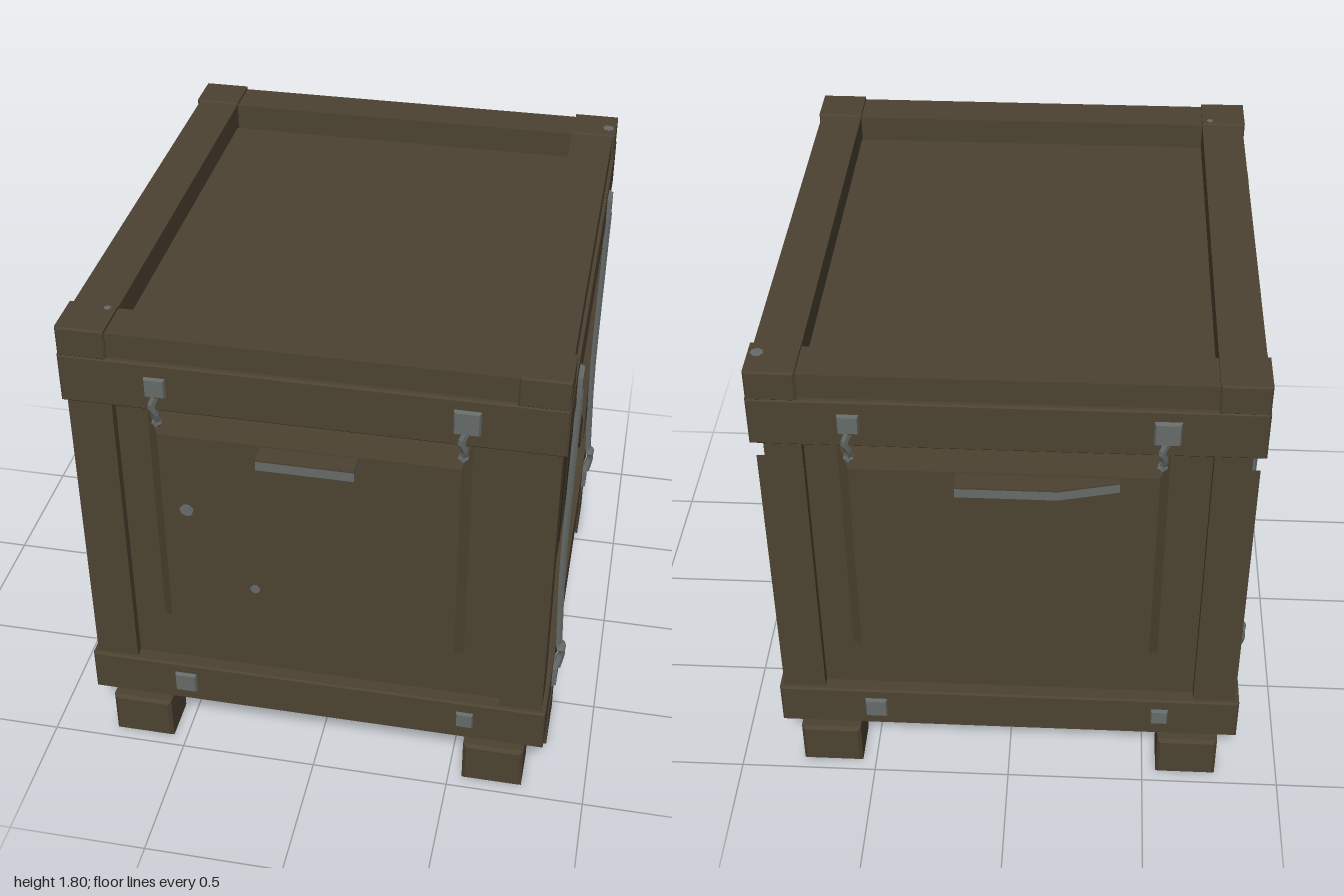
import * as THREE from 'three';

const wood = new THREE.MeshStandardMaterial({ color: 0x4c4231, flatShading: true });
const metal = new THREE.MeshStandardMaterial({ color: 0x656a68, flatShading: true });
const crack = new THREE.MeshStandardMaterial({ color: 0x211c15, flatShading: true });
wood.name = 'brown wood';
metal.name = 'grey metal';
crack.name = 'dark crack';

function add(parent, name, geometry, material) {
  const mesh = new THREE.Mesh(geometry, material);
  mesh.name = name;
  parent.add(mesh);
  return mesh;
}

// Box given by its limits
function box(parent, name, [x0, x1], [y0, y1], [z0, z1], material = wood) {
  const mesh = add(parent, name, new THREE.BoxGeometry(x1 - x0, y1 - y0, z1 - z0), material);
  mesh.position.set((x0 + x1) / 2, (y0 + y1) / 2, (z0 + z1) / 2);
  return mesh;
}

// Outline in x and y, extruded along z
function slab(parent, name, points, z, depth, material = wood, bevel = 0) {
  const shape = new THREE.Shape(points.map(([x, y]) => new THREE.Vector2(x, y)));
  const geometry = new THREE.ExtrudeGeometry(shape, {
    depth: depth - 2 * bevel, bevelEnabled: bevel > 0, bevelSize: bevel,
    bevelThickness: bevel, bevelOffset: -bevel, bevelSegments: 1,
  });
  const mesh = add(parent, name, geometry, material);
  mesh.position.z = z + bevel;
  return mesh;
}

const rect = ([x0, x1], [y0, y1]) => [[x0, y0], [x1, y0], [x1, y1], [x0, y1]];

// Box with chamfered edges
const block = (parent, name, x, y, [z0, z1], bevel = 0.012) =>
  slab(parent, name, rect(x, y), z0, z1 - z0, wood, bevel);

// Metal plate whose front face is smaller than its back
function plate(parent, x, y, z, size) {
  const geometry = new THREE.CylinderGeometry(size * 0.56, size * 0.707, 0.025, 4);
  geometry.rotateY(Math.PI / 4).rotateX(Math.PI / 2);
  add(parent, 'plate', geometry, metal).position.set(x, y, z + 0.003);
}

function rod(parent, name, points, radius) {
  const curve = new THREE.CatmullRomCurve3(points.map((p) => new THREE.Vector3(...p)));
  add(parent, name, new THREE.TubeGeometry(curve, 8, radius, 5), metal);
}

// End wall with raised panel, handle and hooks; tail is the slanted length of the handle
function makeEnd(name, tail) {
  const end = new THREE.Group();
  end.name = name;

  // Panel with a shallow sloping skirt, steeper at the bottom and on one side
  const panel = new THREE.BoxGeometry(1.1, 0.94, 0.035);
  const pos = panel.attributes.position;
  for (let i = 0; i < pos.count; i++) {
    if (pos.getZ(i) < 0) continue;
    pos.setX(i, pos.getX(i) > 0 ? 0.515 : -0.51);
    pos.setY(i, pos.getY(i) > 0 ? 0.36 : -0.45);
  }
  panel.computeVertexNormals();
  add(end, 'raisedPanel', panel, wood).position.set(-0.015, 1.04, 0.909);

  // Handle bar with a wooden top
  const bar = [[-0.17, -0.90], [0.16, -0.90], [0.16, -1], [-0.17, -1]];
  if (tail) bar.splice(0, 4, [-0.17, -0.90], [0.17 + tail, -0.92], [0.17 + tail, -0.95], [0.17, -1], [-0.17, -1]);
  const handle = slab(end, 'handle', bar, 0, 0.035, metal);
  const grip = slab(end, 'handleTop', bar, 0, 0.006, wood);
  for (const [part, y] of [[handle, 1.355], [grip, 1.39]]) {
    part.rotation.x = -Math.PI / 2;
    part.position.set(0, y, 0);
  }

  // Upper plates with hooks
  for (const [x, size] of [[-0.51, 0.08], [0.515, 0.1]]) {
    plate(end, x, 1.605, 0.945, size);
    rod(end, 'hook', [[x, 1.57, 0.95], [x - 0.015, 1.53, 0.955], [x - 0.005, 1.49, 0.94], [x - 0.01, 1.45, 0.925]], 0.013);
    add(end, 'hookEnd', new THREE.IcosahedronGeometry(0.02, 0), metal).position.set(x - 0.01, 1.45, 0.925);
  }
  // Lower plates
  plate(end, -0.485, 0.29, 0.945, 0.09);
  plate(end, 0.55, 0.295, 0.945, 0.07);
  return end;
}

// Side wall: local x runs towards the back, local z points outwards
function makeSide(name) {
  const side = new THREE.Group();
  side.name = name;

  slab(side, 'diagonalBrace', [[-0.72, 1.51], [0.64, 0.39], [0.71, 0.49], [-0.55, 1.51]], 0.77, 0.045);
  slab(side, 'slantedPost', [[0.69, 0.36], [0.93, 0.36], [0.93, 1.45]], 0.77, 0.052);

  // Gaps between the boards
  const gaps = [[-0.61, 0.4, 1.16], [-0.34, 0.95, 1.15], [-0.075, 0.45, 0.97],
    [0.2, 0.95, 1.45], [0.2, 0.43, 0.77], [0.47, 0.7, 1.5]];
  for (const [u, y0, y1] of gaps) box(side, 'boardGap', [u - 0.004, u + 0.004], [y0, y1], [0.787, 0.793], crack);

  // Tie cables between upper and lower plates
  for (const [u, v] of [[-0.64, -0.63], [0.58, 0.59]]) {
    plate(side, u, 1.6, 0.838, 0.09);
    plate(side, v, 0.29, 0.838, 0.095);
    rod(side, 'cable', [[u, 1.57, 0.845], [u - 0.005, 1.3, 0.842], [v, 0.8, 0.838], [v, 0.42, 0.85]], 0.012);
    rod(side, 'cableHook', [[v, 0.42, 0.855], [v + 0.015, 0.37, 0.86], [v, 0.31, 0.848]], 0.015);
    const knot = add(side, 'cableKnot', new THREE.IcosahedronGeometry(0.03, 0), metal);
    knot.position.set(v, 0.415, 0.858);
    knot.scale.set(1.1, 0.7, 0.7);
  }
  return side;
}

export function createModel() {
  const crate = new THREE.Group();
  crate.name = 'crate';

  // Inner body, with sunken lid and raised floor
  box(crate, 'body', [-0.79, 0.79], [0.255, 1.66], [-0.895, 0.895]);

  for (const s of [-1, 1]) {
    const span = (a, b) => (s > 0 ? [a, b] : [-b, -a]);

    // Lower and upper beams
    for (const [label, y] of [['lower', [0.2, 0.37]], ['upper', [1.51, 1.69]]]) {
      block(crate, label + 'EndBeam', [-0.837, 0.837], y, span(0.83, 0.947), 0.006);
      block(crate, label + 'SideBeam', span(0.73, 0.837), y, [-0.94, 0.94], 0.006);
    }
    // Top rim rails
    box(crate, 'rimEndRail', [-0.67, 0.67], [1.695, 1.785], span(0.78, 0.935));
    box(crate, 'rimSideRail', span(0.67, 0.825), [1.695, 1.79], [-0.78, 0.78]);

    for (const t of [-1, 1]) {
      const along = (a, b) => (t > 0 ? [a, b] : [-b, -a]);
      // Corner posts, thinner at the back, and rim corner blocks
      box(crate, 'cornerPost', span(0.67, t > 0 ? 0.822 : 0.795), [0.36, 1.52], along(0.785, 0.93));
      block(crate, 'rimCorner', span(0.67, 0.835), [1.685, 1.795], along(0.775, 0.945), 0.006);
      // Paired feet joined by a pin
      block(crate, 'endFoot', span(0.55, 0.77), [0, 0.177], along(0.775, 0.962));
      block(crate, 'sideFoot', span(0.6, 0.84), [0.008, 0.177], along(0.52, 0.748));
      box(crate, 'footPin', span(0.67, 0.71), [0.07, 0.11], along(0.74, 0.79));
    }
  }

  // Nail heads on the front panel and on the rim
  for (const [x, y, r] of [[-0.44, 1.09, 0.025], [-0.21, 0.77, 0.018]]) {
    const nail = add(crate, 'nailHead', new THREE.CylinderGeometry(r, r, 0.006, 7), metal);
    nail.rotation.x = Math.PI / 2;
    nail.position.set(x, y, 0.928);
  }
  for (const [x, z, r] of [[0.805, -0.835, 0.022], [-0.7, 0.8, 0.012]]) {
    add(crate, 'rimNail', new THREE.CylinderGeometry(r, r, 0.006, 7), metal).position.set(x, 1.794, z);
  }

  const back = makeEnd('backEnd', 0.2);
  back.rotation.y = Math.PI;
  crate.add(makeEnd('frontEnd', 0), back);

  // The two sides mirror each other
  for (const s of [1, -1]) {
    const side = makeSide(s > 0 ? 'leftSide' : 'rightSide');
    side.rotation.y = Math.PI / 2;
    const holder = new THREE.Group();
    holder.name = side.name + 'Mirror';
    holder.scale.x = s;
    holder.add(side);
    crate.add(holder);
  }
  return crate;
}
